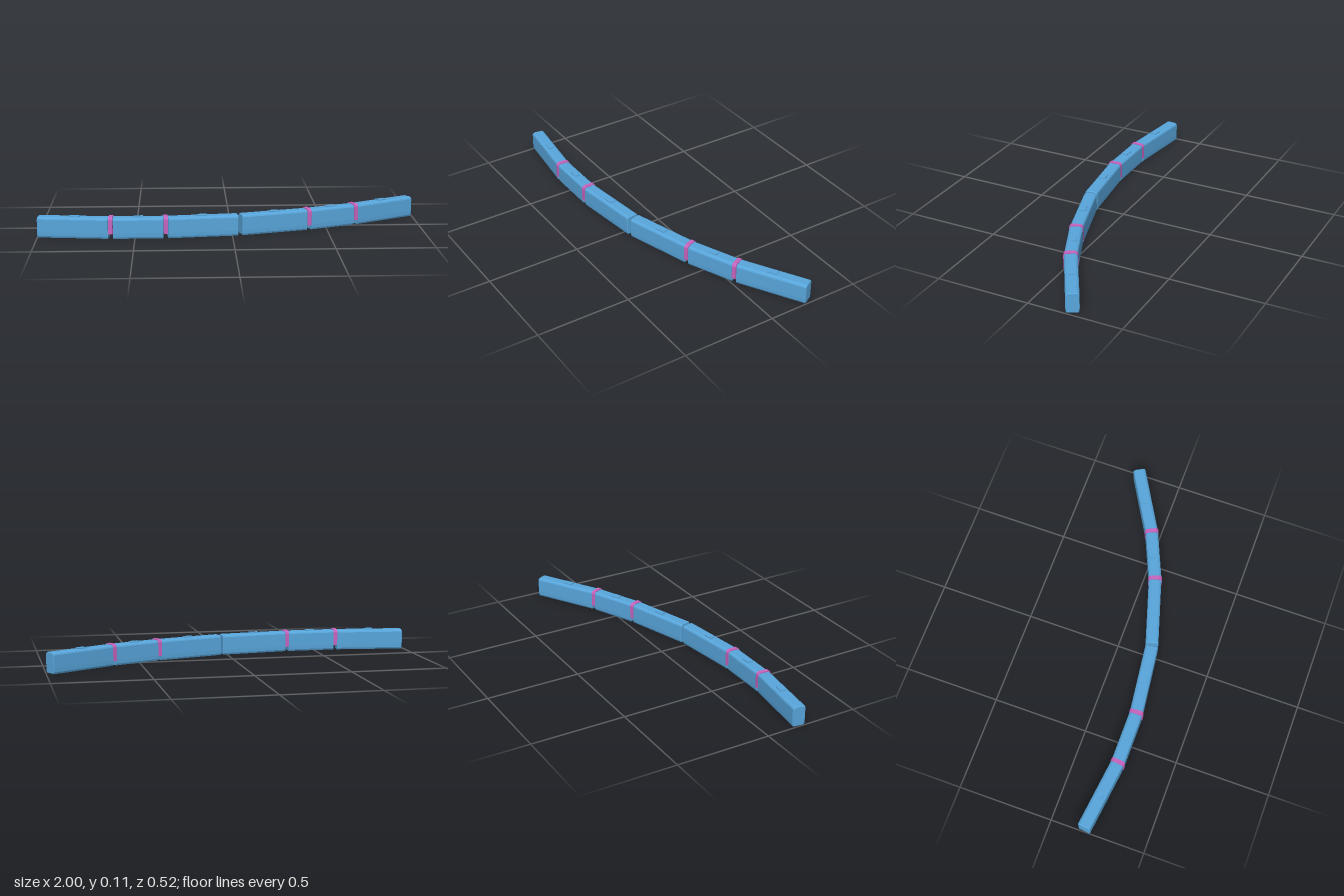
import * as THREE from 'three';

const blue = new THREE.MeshStandardMaterial({ color: 0x58a6dc });
blue.name = 'body blue';
const pink = new THREE.MeshStandardMaterial({ color: 0xc864be });
pink.name = 'joint pink';

// Right half of each cross-section as [z, y], from bottom to top
const bodyHalf = [[0.029, 0], [0.033, 0.009], [0.034, 0.028], [0.034, 0.095], [0.031, 0.102], [0.022, 0.107]];
const jointHalf = [[0.0365, 0.025], [0.0365, 0.097], [0.033, 0.106], [0.024, 0.112]];
const mirror = half => [...half, ...half.map(([z, y]) => [-z, y]).reverse()];

// Loft a closed cross-section along x through rings of [x, inset]
function loft(profile, rings) {
  const pos = [];
  const midY = (profile[0][1] + Math.max(...profile.map(p => p[1]))) / 2;
  const pts = rings.map(([x, inset]) => profile.map(([z, y]) => [
    x, y - Math.sign(y - midY) * inset, z - Math.sign(z) * inset]));
  const tri = (...corners) => corners.forEach(c => pos.push(...c));
  const n = profile.length;
  for (let k = 0; k < rings.length - 1; k++) {
    for (let i = 0; i < n; i++) {
      const j = (i + 1) % n;
      tri(pts[k][i], pts[k + 1][i], pts[k][j]);
      tri(pts[k + 1][i], pts[k + 1][j], pts[k][j]);
    }
  }
  const first = pts[0], last = pts[pts.length - 1];
  for (let i = 1; i < n - 1; i++) {
    tri(first[0], first[i], first[i + 1]);
    tri(last[0], last[i + 1], last[i]);
  }
  const g = new THREE.BufferGeometry();
  g.setAttribute('position', new THREE.Float32BufferAttribute(pos, 3));
  g.computeVertexNormals();
  return g;
}

function add(parent, name, geometry, material) {
  const mesh = new THREE.Mesh(geometry, material);
  mesh.name = name;
  parent.add(mesh);
  return mesh;
}

const heading = (a, b) => Math.atan2(a[1] - b[1], b[0] - a[0]);

// One carriage between two plan points; cab ends are bevelled, joint ends set back
function carriage(a, b, cabStart, cabEnd) {
  const g = new THREE.Group();
  g.name = 'carriage';
  g.position.set((a[0] + b[0]) / 2, 0, (a[1] + b[1]) / 2);
  g.rotation.y = heading(a, b);
  const h = Math.hypot(b[0] - a[0], b[1] - a[1]) / 2;
  const gap = 0.011, bevel = 0.004;
  const start = cabStart ? [[-h, 0.003], [-h + bevel, 0]] : [[-h + gap, 0]];
  const end = cabEnd ? [[h - bevel, 0], [h, 0.003]] : [[h - gap, 0]];
  add(g, 'body', loft(mirror(bodyHalf), [...start, ...end]), blue);
  add(g, 'roofUnit', new THREE.BoxGeometry(0.05, 0.008, 0.032), blue).position.y = 0.108;
  return g;
}

export function createModel() {
  const model = new THREE.Group();
  model.name = 'articulatedTrain';

  // Two coupled three-carriage units, each given by its plan points [x, z]
  const units = [
    [[-0.996, 0.178], [-0.622, 0.224], [-0.343, 0.224], [0.028, 0.178]],
    [[0.043, 0.174], [0.397, 0.067], [0.652, -0.042], [0.981, -0.231]],
  ];
  for (const path of units) {
    const unit = new THREE.Group();
    unit.name = 'trainUnit';
    for (let i = 0; i < 3; i++) {
      unit.add(carriage(path[i], path[i + 1], i === 0, i === 2));
    }
    // Flexible joints follow the mean heading of their neighbours
    for (let i = 1; i < 3; i++) {
      const joint = add(unit, 'joint', loft(mirror(jointHalf), [[-0.0105, 0], [0.0105, 0]]), pink);
      joint.position.set(path[i][0], 0, path[i][1]);
      joint.rotation.y = (heading(path[i - 1], path[i]) + heading(path[i], path[i + 1])) / 2;
    }
    model.add(unit);
  }
  return model;
}
